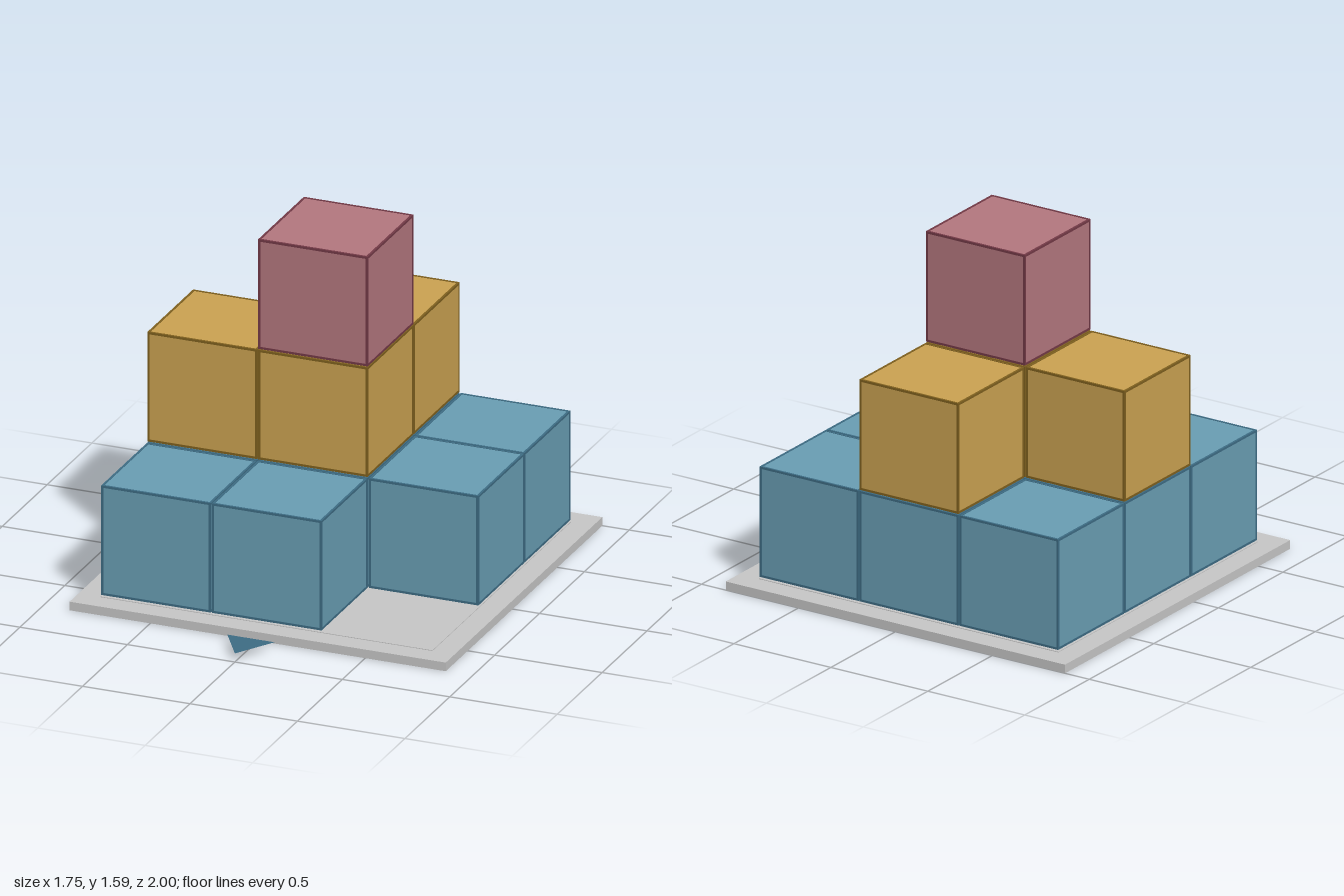
import * as THREE from 'three';
import { mergeGeometries } from 'three/addons/utils/BufferGeometryUtils.js';

const PITCH = 0.515, SIZE = 0.51, BAR = 0.01, BACK = -0.125;

const mat = (name, color) => {
  const m = new THREE.MeshStandardMaterial({ color });
  m.name = name;
  return m;
};

// Twelve thin bars along the edges of a cube
function edgeFrameGeometry() {
  const bars = [], o = (SIZE - BAR) / 2;
  for (const a of [-o, o]) for (const b of [-o, o]) {
    bars.push(new THREE.BoxGeometry(SIZE, BAR, BAR).translate(0, a, b));
    bars.push(new THREE.BoxGeometry(BAR, SIZE, BAR).translate(a, 0, b));
    bars.push(new THREE.BoxGeometry(BAR, BAR, SIZE).translate(a, b, 0));
  }
  return mergeGeometries(bars);
}

export function createModel() {
  const model = new THREE.Group();
  model.name = 'stackedCubes';
  const add = (parent, name, geometry, material, x = 0, y = 0, z = 0) => {
    const mesh = new THREE.Mesh(geometry, material);
    mesh.name = name;
    mesh.position.set(x, y, z);
    parent.add(mesh);
    return mesh;
  };

  const grey = mat('plateGrey', 0xc8c8c8);
  const blueEdge = mat('darkBlue', 0x3e6d85);

  // Base plate with a very thin inlay under the cubes
  add(model, 'basePlate', new THREE.BoxGeometry(1.75, 0.04, 1.745), grey, 0, 0.02, -0.1275);
  add(model, 'baseInlay', new THREE.BoxGeometry(1.545, 0.003, 1.545), grey, 0, 0.0415, BACK);

  // Layers of cubes, each cell given as [column, row]
  const layers = [
    { name: 'lower', face: mat('blue', 0x6a9fb5), edge: blueEdge,
      cells: [[-1, -1], [0, -1], [1, -1], [-1, 0], [0, 0], [1, 0], [-1, 1], [0, 1]] },
    { name: 'middle', face: mat('ochre', 0xcca352), edge: mat('darkOchre', 0x80611f),
      cells: [[0, -1], [-1, 0], [0, 0]] },
    { name: 'top', face: mat('rose', 0xb5787f), edge: mat('darkRose', 0x743a47),
      cells: [[0, 0]] },
  ];
  const body = new THREE.BoxGeometry(SIZE - 0.004, SIZE - 0.004, SIZE - 0.004);
  const frame = edgeFrameGeometry();
  layers.forEach(({ name, face, edge, cells }, level) => {
    for (const [col, row] of cells) {
      const cube = new THREE.Group();
      cube.name = name + 'Cube';
      cube.position.set(col * PITCH, 0.305 + level * PITCH, BACK + row * PITCH);
      add(cube, 'cubeBody', body, face);
      add(cube, 'cubeEdges', frame, edge);
      model.add(cube);
    }
  });

  // Flat arrow marking the front
  const arrowBlue = mat('arrowBlue', 0x3e6d85);
  arrowBlue.side = THREE.DoubleSide;
  const arrow = new THREE.Shape([
    new THREE.Vector2(-0.11, -0.82), new THREE.Vector2(0, -1), new THREE.Vector2(0.11, -0.82),
  ]);
  add(model, 'frontArrow', new THREE.ShapeGeometry(arrow).rotateX(-Math.PI / 2), arrowBlue, 0, 0.04, 0);

  return model;
}
